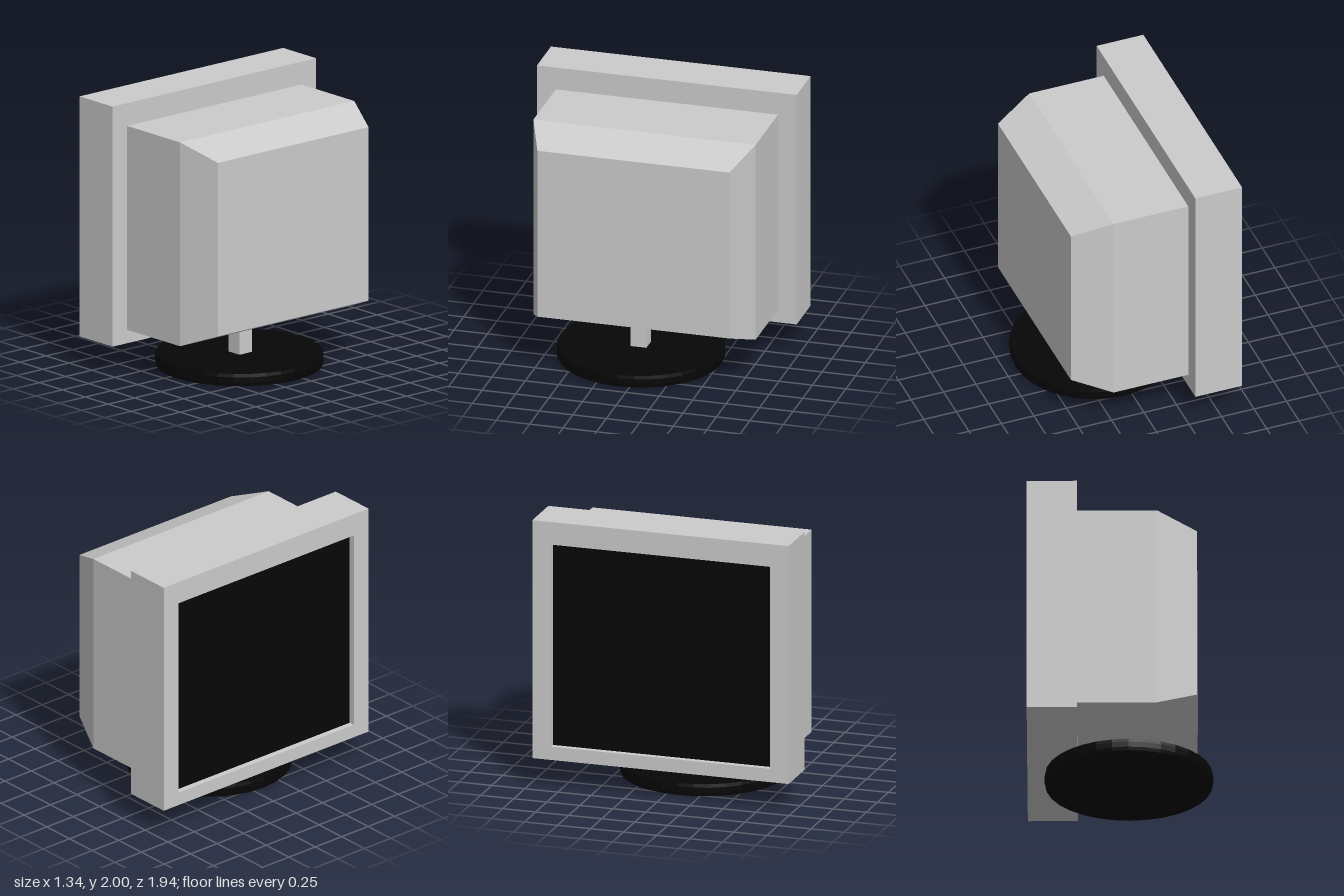
import * as THREE from 'three';

const grey = new THREE.MeshStandardMaterial({ color: 0xcccccc, flatShading: true });
const black = new THREE.MeshStandardMaterial({ color: 0x060606, flatShading: true });

function rectangle(path, halfWidth, bottom, top) {
  path.moveTo(-halfWidth, bottom);
  path.lineTo(halfWidth, bottom);
  path.lineTo(halfWidth, top);
  path.lineTo(-halfWidth, top);
  path.closePath();
  return path;
}

// Deep rectangular frame around the screen, extruded along x
function bezelGeometry() {
  const shape = rectangle(new THREE.Shape(), 0.97, 0.21, 2);
  shape.holes.push(rectangle(new THREE.Path(), 0.83, 0.31, 1.83));
  const geometry = new THREE.ExtrudeGeometry(shape, { depth: 0.36, bevelEnabled: false });
  return geometry.rotateY(Math.PI / 2).translate(-0.67, 0, 0);
}

// Box with one extra ring along x; the far end is narrowed on all four sides
function housingGeometry() {
  const geometry = new THREE.BoxGeometry(2, 1.52, 1.66, 2, 1, 1);
  const stations = [-0.31, 0.265, 0.55];
  const p = geometry.attributes.position;
  for (let i = 0; i < p.count; i++) {
    const ring = Math.round(p.getX(i)) + 1;
    const inset = ring === 2 ? 0.113 : 0;
    p.setXYZ(i, stations[ring],
      p.getY(i) - Math.sign(p.getY(i)) * inset + 1.07,
      p.getZ(i) - Math.sign(p.getZ(i)) * inset);
  }
  geometry.computeVertexNormals();
  return geometry;
}

// Round foot with a slightly eased rim
function footGeometry() {
  const profile = [[0, 0], [0.6, 0], [0.606, 0.025], [0.606, 0.065], [0.6, 0.09], [0, 0.09]];
  return new THREE.LatheGeometry(profile.map(([r, y]) => new THREE.Vector2(r, y)), 32);
}

export function createModel() {
  const model = new THREE.Group();
  model.name = 'monitor';
  const add = (name, geometry, material, x = 0, y = 0, z = 0) => {
    const mesh = new THREE.Mesh(geometry, material);
    mesh.name = name;
    mesh.position.set(x, y, z);
    model.add(mesh);
  };

  add('bezel', bezelGeometry(), grey);
  add('housing', housingGeometry(), grey);
  // Screen set slightly back inside the bezel
  add('screen', new THREE.BoxGeometry(0.02, 1.52, 1.66), black, -0.615, 1.07, 0);
  // Stand
  add('neck', new THREE.BoxGeometry(0.12, 0.24, 0.12), grey, 0.07, 0.2, 0.085);
  add('foot', footGeometry(), black, 0.06, 0, 0.085);
  return model;
}
